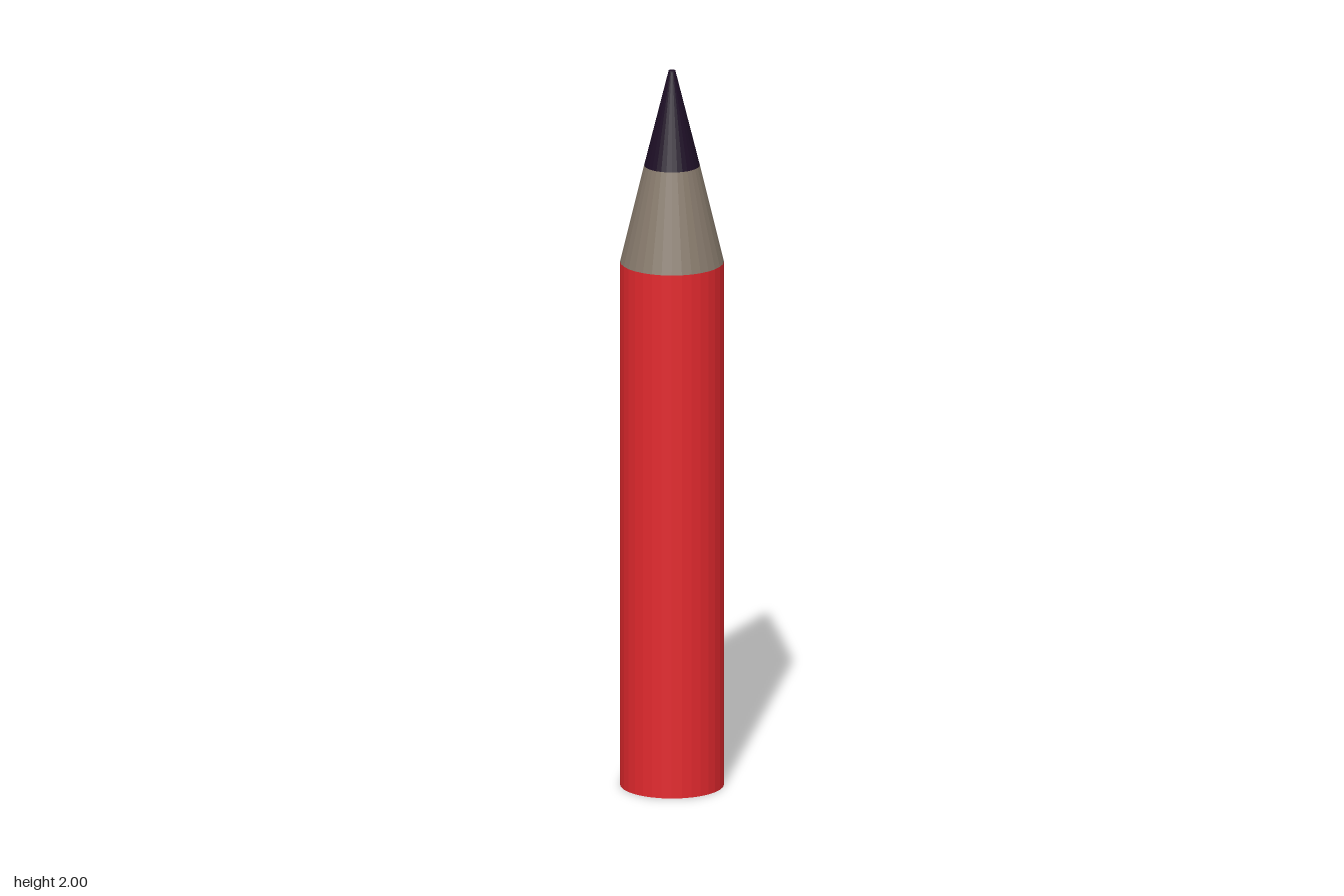
import * as THREE from 'three';

const SIDES = 32;

export function createModel() {
  const group = new THREE.Group();
  group.name = 'pencil';

  // One round section between two heights, closed at both ends
  const addSection = (name, color, bottomRadius, topRadius, y0, y1) => {
    const geometry = new THREE.CylinderGeometry(topRadius, bottomRadius, y1 - y0, SIDES);
    geometry.translate(0, (y0 + y1) / 2, 0);
    const material = new THREE.MeshStandardMaterial({ color, flatShading: true });
    const mesh = new THREE.Mesh(geometry, material);
    mesh.name = name;
    group.add(mesh);
  };

  // Painted barrel, sharpened wood and blunt-ended lead
  addSection('barrel', 0xe3292e, 0.14, 0.14, 0, 1.465);
  addSection('sharpenedWood', 0x887b6d, 0.14, 0.075, 1.465, 1.735);
  addSection('leadTip', 0x1e0f26, 0.075, 0.009, 1.735, 2);

  return group;
}
